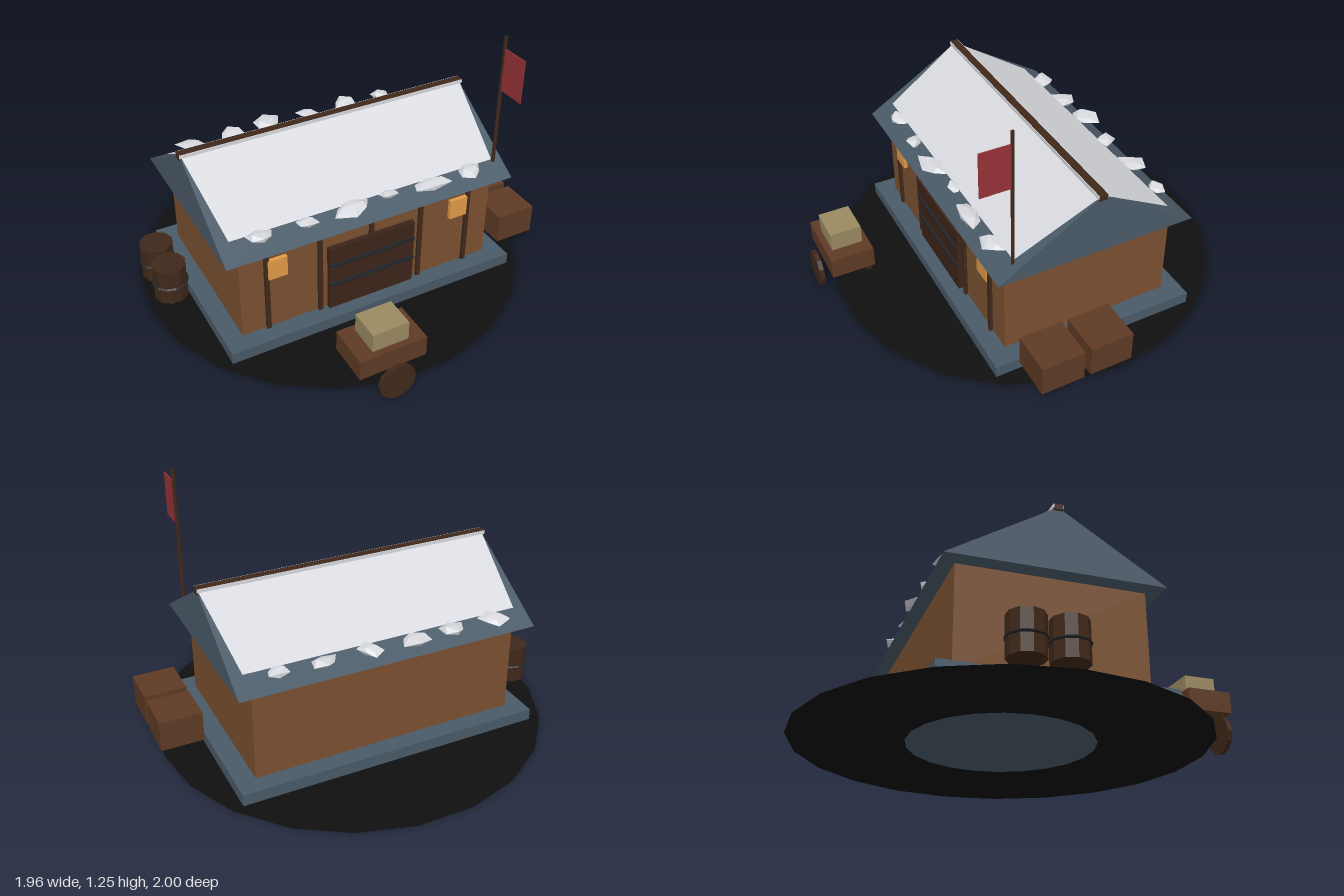
import * as THREE from 'three';

const mat = (color, extra = {}) => {
  const m = new THREE.MeshStandardMaterial({ color, flatShading: true });
  return Object.assign(m, extra);
};
const DOUBLE = { side: THREE.DoubleSide };
const M = {
  ground: mat(0x101010, DOUBLE), slate: mat(0x4a5a68), wall: mat(0x7a5030),
  beam: mat(0x40281a), door: mat(0x3c2418), wood: mat(0x5e3a24), iron: mat(0x24262a),
  snow: mat(0xd8dadf, DOUBLE), lamp: mat(0xe09a48), cloth: mat(0x983236, DOUBLE), tan: mat(0x9a8a62),
};
const CX = -0.01, CZ = -0.033; // centre of the building

export function createModel() {
  const root = new THREE.Group();
  root.name = 'snowyStorehouse';

  const add = (name, geo, material, x = 0, y = 0, z = 0) => {
    const m = new THREE.Mesh(geo, material);
    m.name = name;
    m.position.set(x, y, z);
    root.add(m);
    return m;
  };
  // box given by its extents along each axis
  const box = (name, material, [x0, x1], [y0, y1], [z0, z1]) =>
    add(name, new THREE.BoxGeometry(x1 - x0, y1 - y0, z1 - z0), material,
      (x0 + x1) / 2, (y0 + y1) / 2, (z0 + z1) / 2);

  // ground ring and stone base
  const ring = add('ground', new THREE.RingGeometry(0.44, 0.97, 22), M.ground, CX, 0.001, -0.037);
  ring.rotation.x = -Math.PI / 2;
  box('base', M.slate, [-0.77, 0.755], [0.002, 0.06], [-0.55, 0.485]);
  box('walls', M.wall, [-0.68, 0.66], [0.06, 0.527], [-0.46, 0.395]);

  // gabled roof: triangle swept along x
  const eave = 0.525, ridge = 0.828, half = 0.495;
  const gable = new THREE.Shape([
    new THREE.Vector2(-half, eave), new THREE.Vector2(half, eave), new THREE.Vector2(0, ridge)]);
  const roof = new THREE.ExtrudeGeometry(gable, { depth: 1.5, bevelEnabled: false });
  roof.translate(0, 0, -0.75);
  roof.rotateY(Math.PI / 2);
  add('roof', roof, M.slate, CX, 0, CZ);

  // ridge beam with a snow lip on each side
  box('ridgeBeam', M.beam, [-0.77, 0.748], [0.812, 0.84], [-0.053, -0.013]);

  for (const s of [1, -1]) {
    const side = s > 0 ? 'front' : 'back';
    box(side + 'RidgeSnow', M.snow, [-0.767, 0.745], [0.822, 0.839],
      s > 0 ? [-0.013, -0.009] : [-0.057, -0.053]);

    // snow sheet narrowing towards the eave
    const sheet = new THREE.PlaneGeometry(1, 1);
    const p = sheet.attributes.position;
    for (let i = 0; i < 4; i++) {
      const top = p.getY(i) > 0;
      const d = top ? 0.015 : 0.395;
      p.setXYZ(i, Math.sign(p.getX(i)) * s * (top ? 0.747 : 0.693),
        ridge + 0.005 - d * (ridge - eave) / half, s * d);
    }
    sheet.computeVertexNormals();
    add(side + 'SnowSheet', sheet, M.snow, CX, 0, CZ);
  }

  // jagged snow clumps along both eaves: [x, z, width, depth]
  const clumps = [
    [-0.56, 0.385, 0.13, 0.09], [-0.34, 0.385, 0.10, 0.09], [-0.11, 0.39, 0.19, 0.10],
    [0.10, 0.375, 0.10, 0.06], [0.31, 0.39, 0.20, 0.10], [0.54, 0.39, 0.13, 0.10],
    [-0.56, -0.465, 0.14, 0.11], [-0.34, -0.47, 0.13, 0.12], [-0.13, -0.475, 0.15, 0.13],
    [0.09, -0.47, 0.11, 0.10], [0.32, -0.475, 0.13, 0.11], [0.54, -0.46, 0.10, 0.08]];
  clumps.forEach(([x, z, w, d], n) => {
    const g = new THREE.IcosahedronGeometry(0.5, 0);
    const p = g.attributes.position;
    for (let i = 0; i < p.count; i++) {
      const a = p.getX(i), b = p.getY(i), c = p.getZ(i);
      const k = 1 + 0.3 * Math.sin(a * 17 + b * 29 + c * 41 + n * 2.3);
      p.setXYZ(i, a * k * w, b * k * 0.042, c * k * d);
    }
    g.computeVertexNormals();
    add('snowClump', g, M.snow, x, 0.585, z);
  });

  // front posts, door and lit windows
  for (let i = 0; i < 5; i++) {
    const x = -0.55 + i * 0.27;
    box('wallPost', M.beam, [x - 0.011, x + 0.011], [0.06, 0.52], [0.388, 0.41]);
  }
  box('door', M.door, [-0.24, 0.218], [0.06, 0.413], [0.39, 0.42]);
  for (const y of [0.205, 0.318])
    box('doorBand', M.iron, [-0.238, 0.216], [y - 0.009, y + 0.009], [0.41, 0.43]);
  for (const x of [-0.498, 0.472])
    box('window', M.lamp, [x - 0.048, x + 0.048], [0.35, 0.455], [0.39, 0.415]);

  // flag on its pole
  add('flagPole', new THREE.CylinderGeometry(0.009, 0.009, 0.675, 6), M.beam, 0.69, 0.9175, 0.368);
  box('flag', M.cloth, [0.687, 0.693], [0.98, 1.195], [0.37, 0.517]);

  // handcart with its load
  box('cartBody', M.wood, [-0.38, -0.048], [0.143, 0.245], [0.745, 0.958]);
  box('cartLoad', M.tan, [-0.303, -0.124], [0.245, 0.337], [0.775, 0.927]);
  for (const z of [0.747, 0.99]) {
    const wheel = add('cartWheel', new THREE.CylinderGeometry(0.09, 0.09, 0.022, 12), M.beam, -0.213, 0.09, z);
    wheel.rotation.x = Math.PI / 2;
  }

  // crates beside the left wall
  box('crate', M.wood, [0.77, 0.98], [0.06, 0.213], [-0.08, 0.132]);
  box('crate', M.wood, [0.77, 0.98], [0.06, 0.213], [0.165, 0.377]);

  // barrels beside the right wall
  for (const z of [-0.22, -0.04]) {
    const barrel = add('barrel', new THREE.CylinderGeometry(0.083, 0.083, 0.185, 10), M.beam, -0.866, 0.1525, z);
    barrel.rotation.y = Math.PI / 10;
    const hoop = add('barrelHoop', new THREE.TorusGeometry(0.083, 0.007, 4, 12), M.iron, -0.866, 0.145, z);
    hoop.rotation.x = Math.PI / 2;
  }
  return root;
}
